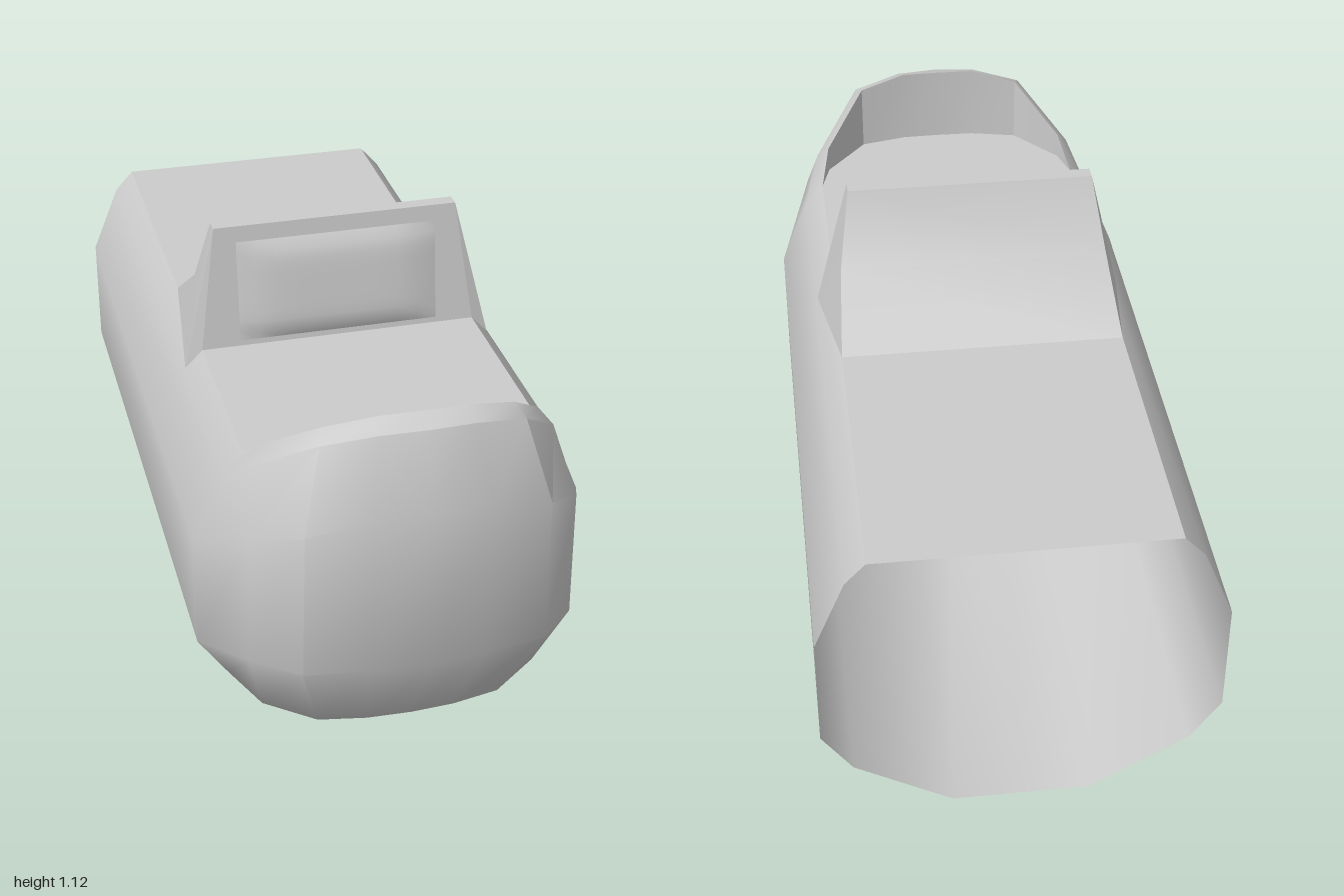
import * as THREE from 'three';
import { toCreasedNormals } from 'three/addons/utils/BufferGeometryUtils.js';

const material = new THREE.MeshStandardMaterial({ color: 0xcccccc, side: THREE.DoubleSide });
const DECK = 0.795;

// Skin between successive rows of [x, y, z] points, dropping collapsed triangles
function loft(name, rows, crease = 0.62) {
  const pos = [];
  const tri = (...corners) => {
    const t = new THREE.Triangle(...corners.map((c) => new THREE.Vector3(...c)));
    if (t.getArea() > 1e-7) corners.forEach((c) => pos.push(...c));
  };
  for (let i = 0; i < rows.length - 1; i++) {
    for (let j = 0; j < rows[i].length - 1; j++) {
      const a = rows[i][j], b = rows[i][j + 1], c = rows[i + 1][j], d = rows[i + 1][j + 1];
      tri(a, b, c);
      tri(b, d, c);
    }
  }
  const g = new THREE.BufferGeometry();
  g.setAttribute('position', new THREE.Float32BufferAttribute(pos, 3));
  const mesh = new THREE.Mesh(toCreasedNormals(g, crease), material);
  mesh.name = name;
  return mesh;
}

const mirrorX = ([x, y, z]) => [-x, y, z];

// Flat horizontal plate from an [x, z] outline
function plate(name, outline, y) {
  const shape = new THREE.Shape(outline.map(([x, z]) => new THREE.Vector2(x, -z)));
  const mesh = new THREE.Mesh(new THREE.ShapeGeometry(shape).rotateX(-Math.PI / 2), material);
  mesh.position.y = y;
  mesh.name = name;
  return mesh;
}

export function createModel() {
  const model = new THREE.Group();
  model.name = 'podVehicle';

  // Hull: constant section from the open tail to the nose, bottom to top
  const section = [[0, 0], [0.17, 0], [0.41, 0.145], [0.485, 0.255], [0.485, 0.555], [0.41, 0.74], [0.36, DECK]];
  const sectionAt = (z) => section.map(([x, y]) => [x, y, z]);

  // Nose columns, from the side round to the centre line
  const nose = [
    [[0, 0, 0.62], [0.15, 0, 0.62], [0.35, 0.13, 0.74], [0.40, 0.35, 0.84], [0.395, 0.69, 0.84], [0.365, 0.83, 0.74], [0.335, 0.865, 0.71]],
    [[0, 0, 0.62], [0.10, 0, 0.62], [0.23, 0.122, 0.825], [0.295, 0.37, 0.95], [0.29, 0.76, 0.955], [0.24, 0.955, 0.89], [0.225, 0.975, 0.845]],
    [[0, 0, 0.62], [0.05, 0, 0.62], [0.11, 0.12, 0.845], [0.14, 0.37, 0.97], [0.14, 0.795, 0.98], [0.11, 0.982, 0.922], [0.10, 1.003, 0.873]],
  ];
  const tip = [[0, 0, 0.62], [0, 0, 0.62], [0, 0.12, 0.85], [0, 0.37, 0.985], [0, 0.81, 1.0], [0, 0.985, 0.93], [0, 1.003, 0.875]];
  const half = [sectionAt(-1), sectionAt(0.62), ...nose];
  const columns = [...half, tip, ...half.map((c) => c.map(mirrorX)).reverse()];
  model.add(loft('hull', columns, 0.75));

  // Wall behind the raised nose lip, down to the deck
  const rim = columns.slice(1, -1).map((c) => c[c.length - 1]);
  model.add(loft('noseInnerWall', rim.map((p) => [p, [p[0], DECK, p[2]]])));

  // Deck and the thin hatch on it
  model.add(plate('deck', [[0.36, -1], ...rim.map(([x, , z]) => [x, z]), [-0.36, -1]], DECK));
  model.add(plate('hatch', [[0.31, 0.21], [0.31, 0.73], [-0.31, 0.73], [-0.31, 0.21]], DECK + 0.003));

  // Cowl: [half width, y, z] from the tail slope over the top and down the front
  const cowl = [[0.36, DECK, -0.22], [0.345, 0.93, -0.03], [0.315, 1.115, 0.055], [0.315, 1.115, 0.092], [0.36, DECK, 0.13]];
  model.add(loft('cowl', cowl.map((p) => [p, mirrorX(p)])));

  // Cowl cheeks flare out to a foot on the hull
  const foot = [0.405, 0.745, 0.125];
  const cheek = cowl.map((p) => [foot, p]);
  model.add(loft('leftCheek', cheek));
  model.add(loft('rightCheek', cheek.map((r) => r.map(mirrorX)).reverse()));

  // Windscreen: a shallow pillow on the sloping front face
  const N = 10, screen = [];
  for (let i = 0; i <= N; i++) {
    const v = (i / N) * 2 - 1, y = 0.942 + 0.132 * v, row = [];
    for (let j = 0; j <= N; j++) {
      const u = (j / N) * 2 - 1;
      const bulge = 0.02 * (1 - u ** 6) * (1 - v ** 6);
      row.push([0.26 * u, y, 0.132 - 0.119 * (y - DECK) + bulge]);
    }
    screen.push(row);
  }
  model.add(loft('windscreen', screen, 1.2));

  return model;
}
